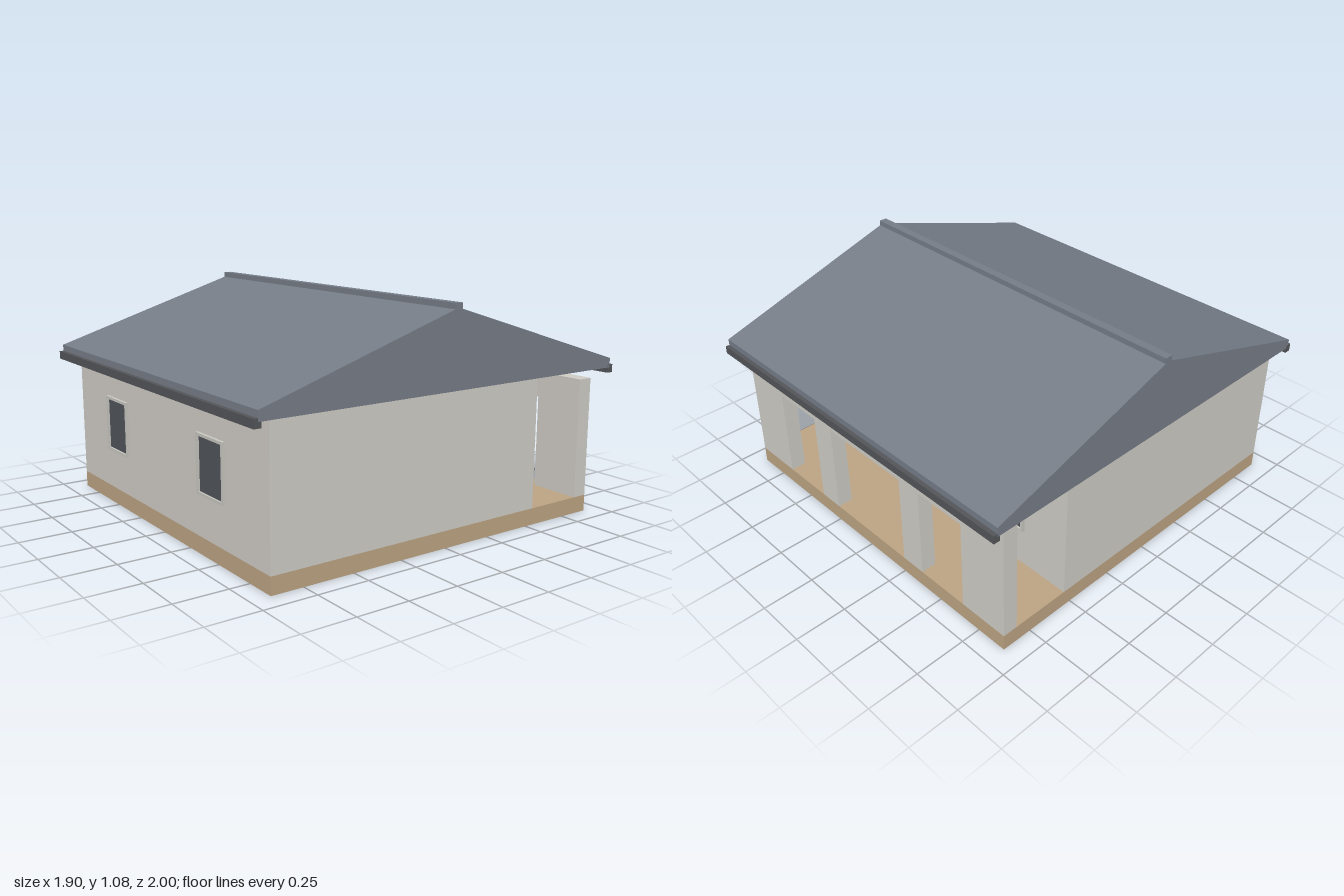
import * as THREE from 'three';

const mat = (name, color) => {
  const m = new THREE.MeshStandardMaterial({ color });
  m.name = name;
  return m;
};

export function createModel() {
  const house = new THREE.Group();
  house.name = 'house';
  const plaster = mat('plaster', 0xcfccc5);
  const stone = mat('tanFoundation', 0xbba382);
  const slate = mat('slateRoof', 0x757c87);
  const dark = mat('darkGutter', 0x535558);
  const glassMat = mat('darkGlass', 0x505459);
  const trim = mat('windowTrim', 0xc6c5be);
  const doorMat = mat('blueGreyDoor', 0x6b7684);

  const add = (name, geo, material, parent = house) => {
    const mesh = new THREE.Mesh(geo, material);
    mesh.name = name;
    parent.add(mesh);
    return mesh;
  };
  // Box given by its lower and upper limits on each axis
  const box = (name, material, [x0, x1], [y0, y1], [z0, z1], parent) => {
    const geo = new THREE.BoxGeometry(x1 - x0, y1 - y0, z1 - z0);
    geo.translate((x0 + x1) / 2, (y0 + y1) / 2, (z0 + z1) / 2);
    return add(name, geo, material, parent);
  };
  const polygon = (pts) => new THREE.Shape(pts.map(([x, y]) => new THREE.Vector2(x, y)));
  const rect = (x0, x1, y0, y1) => polygon([[x0, y0], [x1, y0], [x1, y1], [x0, y1]]);
  const extrude = (shape, depth) => new THREE.ExtrudeGeometry(shape, { depth, bevelEnabled: false });

  // Foundation and main block
  const half = 0.905, floor = 0.08, eave = 0.71, backWall = -0.54;
  box('foundation', stone, [-half, half], [0, floor], [-half, half]);
  box('walls', plaster, [-half, half], [floor, eave], [backWall, half]);

  // Porch wall with three openings reaching the floor
  const porch = [[-half, floor]];
  for (const [a, b] of [[-0.65, -0.378], [-0.25, 0.25], [0.378, 0.65]]) {
    porch.push([a, floor], [a, 0.535], [b, 0.535], [b, floor]);
  }
  porch.push([half, floor], [half, 0.66], [-half, 0.66]);
  add('porchWall', extrude(polygon(porch), 0.075), plaster).position.z = -half;

  // Gabled roof: solid prism along x
  const roofHalf = 0.952;
  const roof = extrude(polygon([
    [-0.98, eave], [0.98, eave], [0.98, 0.755], [0, 1.062], [-0.98, 0.755],
  ]), roofHalf * 2);
  roof.translate(0, 0, -roofHalf);
  roof.rotateY(Math.PI / 2);
  add('roof', roof, slate);
  box('ridgeCap', slate, [-roofHalf, roofHalf], [1.04, 1.082], [-0.02, 0.02]);

  // Gutters under both eaves
  box('frontGutter', dark, [-roofHalf, roofHalf], [0.685, 0.724], [0.967, 1]);
  box('backGutter', dark, [-roofHalf, roofHalf], [0.685, 0.724], [-1, -0.967]);

  // Framed windows, built facing +z
  const addWindow = (name, x, z, turn) => {
    const g = new THREE.Group();
    g.name = name;
    const frame = rect(-0.112, 0.112, -0.135, 0.135);
    frame.holes.push(rect(-0.098, 0.098, -0.122, 0.122));
    add('frame', extrude(frame, 0.014), trim, g);
    box('glass', glassMat, [-0.098, 0.098], [-0.122, 0.122], [0, 0.005], g);
    g.position.set(x, 0.41, z);
    g.rotation.y = turn;
    house.add(g);
  };
  for (const side of [-1, 1]) {
    addWindow('frontWindow', side * 0.459, half, 0);
    addWindow('backWindow', side * 0.545, backWall, Math.PI);
  }

  // Door under the porch
  box('door', doorMat, [-0.1, 0.1], [floor, 0.545], [backWall - 0.008, backWall]);

  return house;
}
